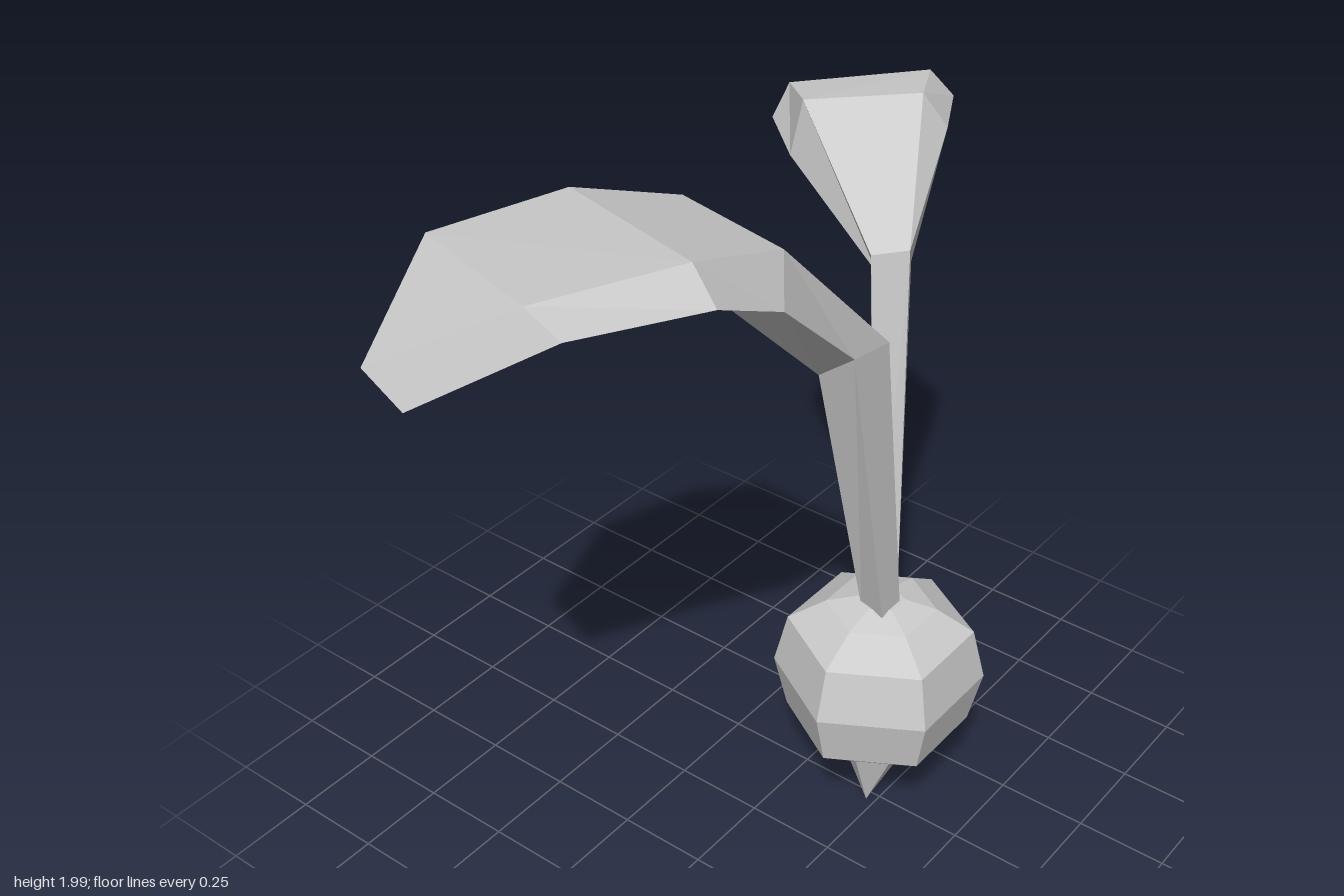
import * as THREE from 'three';

const material = new THREE.MeshStandardMaterial({ color: 0xcccccc, flatShading: true });

// Skin a stack of four-cornered rings, given from base to tip
function loft(name, rings) {
  const points = [], index = [];
  rings.forEach((ring) => ring.forEach((p) => points.push(...p)));
  for (let i = 0; i < rings.length - 1; i++) {
    for (let j = 0; j < 4; j++) {
      const k = (j + 1) % 4;
      const a = i * 4 + j, b = i * 4 + k, c = b + 4, d = a + 4;
      index.push(a, b, c, a, c, d);
    }
  }
  const geometry = new THREE.BufferGeometry();
  geometry.setAttribute('position', new THREE.Float32BufferAttribute(points, 3));
  geometry.setIndex(index);
  // separate the faces so every facet has its own normal
  const flat = geometry.toNonIndexed();
  flat.computeVertexNormals();
  const mesh = new THREE.Mesh(flat, material);
  mesh.name = name;
  return mesh;
}

// Six-sided bulb with a pointed root that leans a little
function makeBulb() {
  const profile = [
    [0, 0.01], [0.09, 0.195], [0.245, 0.32], [0.28, 0.47],
    [0.245, 0.615], [0.145, 0.68], [0.06, 0.705], [0, 0.705],
  ].map(([r, y]) => new THREE.Vector2(r, y));
  const geometry = new THREE.LatheGeometry(profile, 6, Math.PI / 2);
  const position = geometry.attributes.position;
  for (let i = 0; i < position.count; i++) {
    if (position.getY(i) < 0.1) position.setX(i, -0.03);
  }
  const mesh = new THREE.Mesh(geometry, material);
  mesh.position.set(0.25, 0, 0.225);
  mesh.name = 'bulb';
  return mesh;
}

export function createModel() {
  const group = new THREE.Group();
  group.name = 'sproutingBulb';
  group.add(makeBulb());

  // Large leaf: each ring is top front, top back, bottom back, bottom front
  group.add(loft('largeLeaf', [
    [[0.27, 0.68, 0.27], [0.3, 0.68, 0.19], [0.21, 0.68, 0.19], [0.19, 0.68, 0.27]],
    [[0.16, 1.53, 0.27], [0.19, 1.5, 0.15], [0.05, 1.45, 0.15], [0.02, 1.55, 0.27]],
    [[-0.2, 1.91, 0.23], [-0.07, 1.87, -0.15], [-0.1, 1.7, -0.17], [-0.27, 1.81, 0.285]],
    [[-0.49, 2.0, 0.22], [-0.3, 1.94, -0.28], [-0.28, 1.83, -0.32], [-0.5, 1.92, 0.29]],
    [[-0.8, 1.98, 0.05], [-0.63, 1.93, -0.39], [-0.57, 1.84, -0.41], [-0.77, 1.91, 0.12]],
    [[-1, 1.78, -0.1], [-0.9, 1.75, -0.33], [-0.9, 1.75, -0.33], [-1, 1.78, -0.1]],
  ]));

  // Small leaf: each ring is top back, top front, bottom front, bottom back
  group.add(loft('smallLeaf', [
    [[0.23, 0.68, 0.22], [0.27, 0.68, 0.26], [0.3, 0.68, 0.22], [0.27, 0.68, 0.18]],
    [[0.28, 1.66, 0.13], [0.34, 1.67, 0.2], [0.41, 1.6, 0.16], [0.37, 1.56, 0.09]],
    [[0.44, 1.91, -0.19], [0.63, 1.92, 0.03], [0.67, 1.83, 0.08], [0.43, 1.76, -0.22]],
    [[0.56, 1.88, -0.32], [0.8, 1.9, -0.06], [0.82, 1.84, 0], [0.53, 1.79, -0.35]],
    [[0.73, 1.78, -0.44], [0.94, 1.79, -0.2], [0.93, 1.73, -0.14], [0.7, 1.7, -0.44]],
    [[0.86, 1.58, -0.47], [0.99, 1.59, -0.32], [0.99, 1.59, -0.32], [0.86, 1.58, -0.47]],
  ]));
  return group;
}
